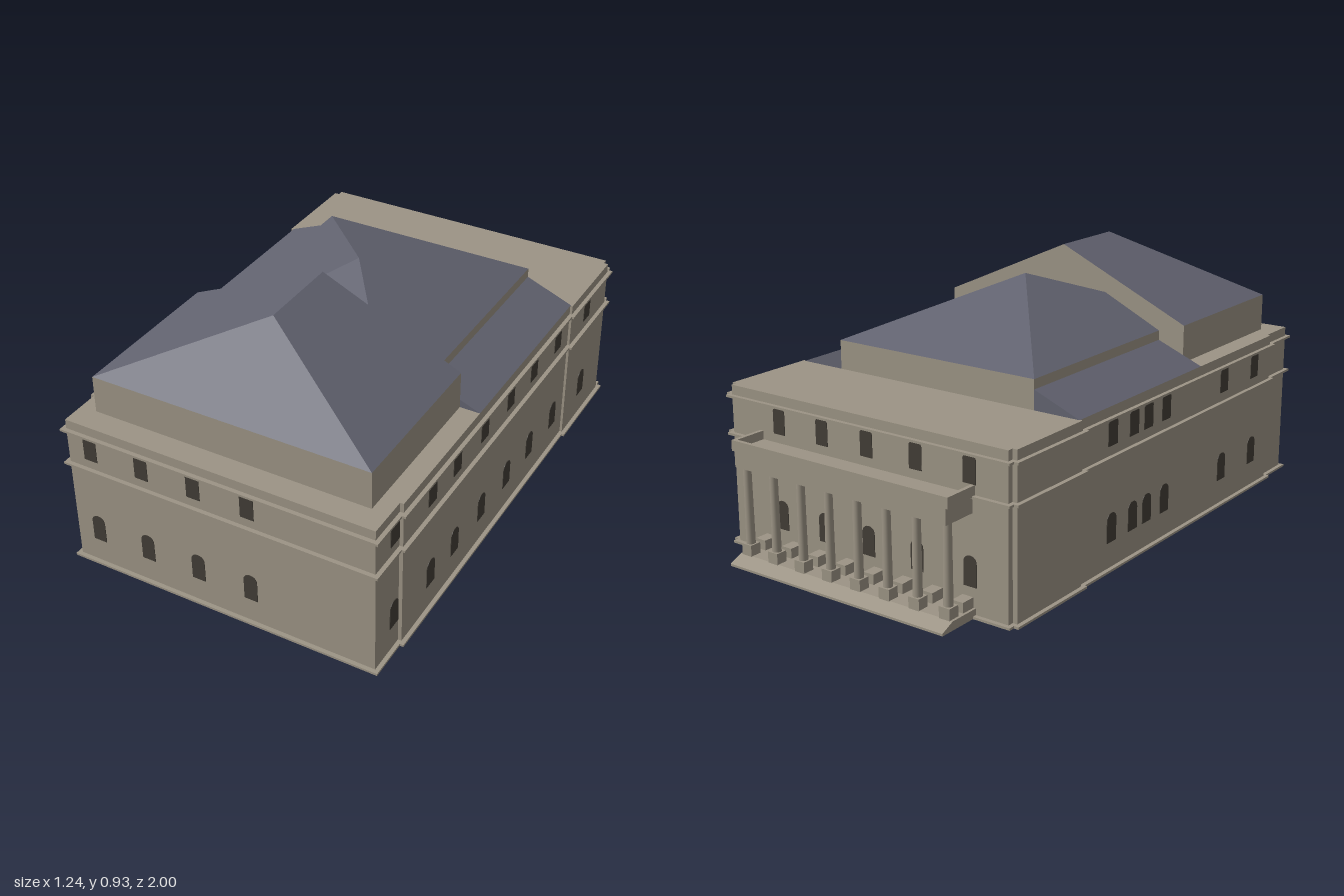
import * as THREE from 'three';

const material = (name, color) => {
  const m = new THREE.MeshStandardMaterial({ color });
  m.name = name;
  return m;
};

export function createModel() {
  const stone = material('stone', 0x9c9485);
  const slate = material('slate', 0x626370);
  const glass = material('darkWindow', 0x423d36);
  const model = new THREE.Group();
  model.name = 'theatreBuilding';
  const hall = new THREE.Group();
  hall.name = 'hall';
  hall.rotation.y = 0.02; // the whole building sits slightly askew
  model.add(hall);

  const add = (name, geometry, mat) => {
    const mesh = new THREE.Mesh(geometry, mat);
    mesh.name = name;
    hall.add(mesh);
    return mesh;
  };
  // Box given by its limits on each axis
  const box = (name, x0, x1, y0, y1, z0, z1, mat = stone) => {
    const mesh = add(name, new THREE.BoxGeometry(x1 - x0, y1 - y0, z1 - z0), mat);
    mesh.position.set((x0 + x1) / 2, (y0 + y1) / 2, (z0 + z1) / 2);
    return mesh;
  };
  // Flat polygons from corner points, listed counter-clockwise
  const faces = (name, points, polygons, mat) => {
    const pos = [];
    for (const p of polygons)
      for (let i = 1; i < p.length - 1; i++)
        pos.push(...points[p[0]], ...points[p[i]], ...points[p[i + 1]]);
    const g = new THREE.BufferGeometry();
    g.setAttribute('position', new THREE.Float32BufferAttribute(pos, 3));
    g.computeVertexNormals();
    return add(name, g, mat);
  };

  // Wall blocks, each stepped out from the next, with three string courses
  const top = 0.567, lip = 0.015;
  const blocks = [
    ['frontBlock', 0.57, 0.822, 0.973],
    ['middleBlock', 0.583, -0.46, 0.822],
    ['backBlock', 0.592, -0.805, -0.46],
    ['rearWall', 0.575, -0.826, -0.805],
  ];
  for (const [name, w, z0, z1] of blocks) {
    box(name, -w, w, 0, top, z0, z1);
    for (const y of [0, 0.392, 0.525])
      box(name + 'Course', -w - lip, w + lip, y, y + 0.008, z0 - lip, z1 + lip);
  }

  // Arched windows in two storeys
  const windowPlate = (width, height, rise) => {
    const s = new THREE.Shape();
    const h = width / 2;
    s.moveTo(-h, 0);
    s.lineTo(h, 0);
    s.lineTo(h, height - rise);
    s.bezierCurveTo(h, height - rise * 0.35, h * 0.55, height, 0, height);
    s.bezierCurveTo(-h * 0.55, height, -h, height - rise * 0.35, -h, height - rise);
    return new THREE.ExtrudeGeometry(s, { depth: 0.004, bevelEnabled: false, curveSegments: 5 });
  };
  const addWindows = (name, x, z, turn, width = 0.05) => {
    for (const [y, rise] of [[0.098, 0.025], [0.433, 0.012]]) {
      const win = add(name, windowPlate(width, y < 0.2 ? 0.102 : 0.09, rise), glass);
      win.position.set(x, y, z);
      win.rotation.y = turn;
    }
  };
  const wallAt = z => (z > 0.822 ? 0.57 : z < -0.46 ? 0.592 : 0.583) - 0.002;
  for (const x of [-0.481, -0.281, -0.082, 0.118]) addWindows('frontWindow', x, 0.971, 0);
  for (const z of [0.852, 0.627, 0.452, 0.247, 0.042, -0.153, -0.363, -0.613])
    addWindows('leftWindow', wallAt(z), z, Math.PI / 2, 0.055);
  for (const z of [-0.27, -0.14, -0.05, 0.065, 0.47, 0.7])
    addWindows('rightWindow', -wallAt(z), z, -Math.PI / 2, 0.055);
  for (const x of [0.36, 0.17, -0.02, -0.22, -0.43])
    addWindows('backWindow', x, -0.824, Math.PI);

  // Front attic with a hipped roof ending in a gable towards the back
  const ax = 0.51, a0 = 0.295, a1 = 0.888, eave = 0.702, ridge = 0.932;
  box('atticWall', -ax, ax, top, eave, a0, a1);
  const attic = [
    [-ax, eave, a0], [ax, eave, a0], [ax, eave, a1], [-ax, eave, a1],
    [0, ridge, a0], [0, ridge, 0.6],
  ];
  faces('atticRoof', attic, [[3, 2, 5], [2, 1, 4, 5], [0, 3, 5, 4]], slate);
  faces('atticGable', attic, [[1, 0, 4]], stone);

  // Middle drum with a pyramid roof running into the attic
  const dx = 0.41, d0 = -0.465, d1 = 0.585, drumTop = 0.67;
  box('drumWall', -dx, dx, top, drumTop, d0, a0);
  faces('pyramidRoof', [
    [-dx, drumTop, d0], [dx, drumTop, d0], [dx, drumTop, d1], [-dx, drumTop, d1],
    [0.003, 0.866, 0.06],
  ], [[3, 2, 4], [2, 1, 4], [1, 0, 4], [0, 3, 4]], slate);

  // Lean-to roofs along both sides of the drum
  for (const s of [-1, 1]) {
    const shape = new THREE.Shape([
      new THREE.Vector2(s * 0.583, top),
      new THREE.Vector2(s * dx, 0.636),
      new THREE.Vector2(s * dx, top),
    ]);
    const g = new THREE.ExtrudeGeometry(shape, { depth: a0 - d0, bevelEnabled: false });
    add('sideRoof', g, slate).position.z = d0;
  }

  // Rear portico: sloped steps, columns on pedestals, beam and parapet
  const px = 0.45;
  const stepShape = new THREE.Shape([
    new THREE.Vector2(0.82, 0), new THREE.Vector2(0.99, 0), new THREE.Vector2(0.99, 0.008),
    new THREE.Vector2(0.94, 0.03), new THREE.Vector2(0.82, 0.03),
  ]);
  const steps = add('porticoSteps',
    new THREE.ExtrudeGeometry(stepShape, { depth: 2 * px, bevelEnabled: false }), stone);
  steps.rotation.y = Math.PI / 2;
  steps.position.x = -px;

  for (let i = 0; i < 8; i++) {
    const x = -0.42 + i * 0.12;
    box('pedestal', x - 0.021, x + 0.021, 0.02, 0.068, -0.943, -0.901);
    box('wallPedestal', x - 0.021, x + 0.021, 0.02, 0.065, -0.878, -0.826);
    const column = add('column', new THREE.CylinderGeometry(0.014, 0.016, 0.275, 12), stone);
    column.position.set(x, 0.205, -0.922);
  }
  box('porticoBeam', -px + 0.01, px - 0.01, 0.34, 0.402, -0.955, -0.826);
  box('parapetFront', -px, px, 0.395, 0.432, -0.957, -0.943);
  for (const s of [-1, 1])
    box('parapetEnd', s * (px - 0.007) - 0.007, s * (px - 0.007) + 0.007, 0.395, 0.432, -0.957, -0.826);

  return model;
}
